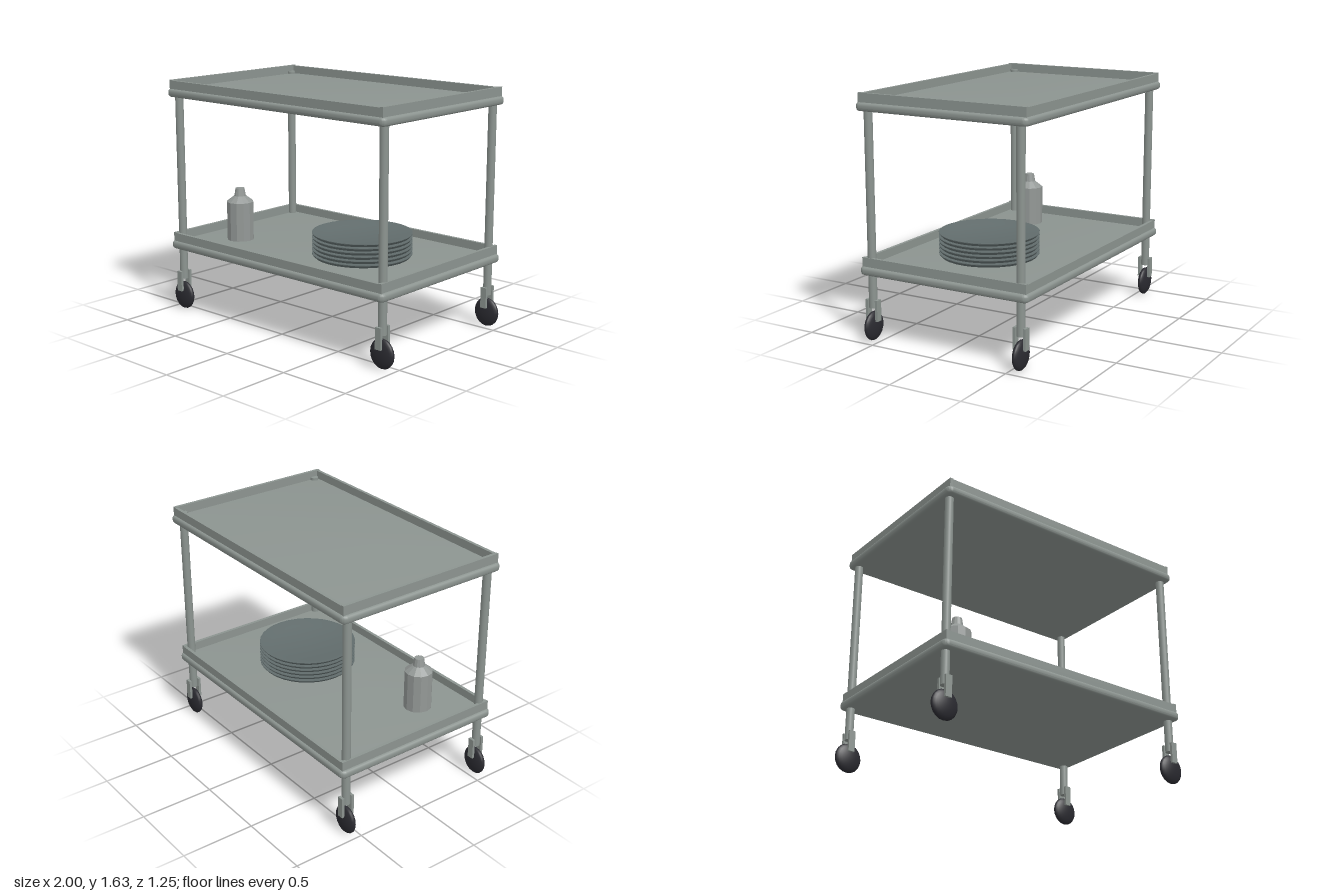
import * as THREE from 'three';
import { toCreasedNormals } from 'three/addons/utils/BufferGeometryUtils.js';

const material = (name, color) => {
  const m = new THREE.MeshStandardMaterial({ color });
  m.name = name;
  return m;
};

export function createModel() {
  const metal = material('brushed grey metal', 0x8c9490);
  const rubber = material('black rubber', 0x2a2a30);
  const ceramic = material('dark slate ceramic', 0x626d6d);
  const plastic = material('pale grey plastic', 0x939896);

  const cart = new THREE.Group();
  cart.name = 'servingCart';

  const add = (parent, name, geometry, mat, x = 0, y = 0, z = 0) => {
    const mesh = new THREE.Mesh(geometry, mat);
    mesh.name = name;
    mesh.position.set(x, y, z);
    parent.add(mesh);
    return mesh;
  };
  const group = (name, x, y, z) => {
    const g = new THREE.Group();
    g.name = name;
    g.position.set(x, y, z);
    cart.add(g);
    return g;
  };
  const lathe = (points, sides, crease) => toCreasedNormals(
    new THREE.LatheGeometry(points.map(([r, y]) => new THREE.Vector2(r, y)), sides), crease);

  // Shelf slab: rounded rectangle with a rounded bumper edge
  const bevel = 0.022;
  const hx = 0.96 - bevel, hz = 0.623 - bevel, r = 0.015;
  const outline = new THREE.Shape();
  outline.absarc(hx - r, hz - r, r, 0, Math.PI / 2);
  outline.absarc(-hx + r, hz - r, r, Math.PI / 2, Math.PI);
  outline.absarc(-hx + r, -hz + r, r, Math.PI, Math.PI * 1.5);
  outline.absarc(hx - r, -hz + r, r, Math.PI * 1.5, Math.PI * 2);
  const slab = new THREE.ExtrudeGeometry(outline, {
    depth: 0.016, bevelEnabled: true, bevelSize: bevel, bevelThickness: 0.02,
    bevelSegments: 4, curveSegments: 4,
  });
  slab.rotateX(-Math.PI / 2).translate(0, 0.02, 0);
  const slabGeometry = toCreasedNormals(slab, 0.6);

  // Trays: slab with four upright rim boards
  for (const [name, y] of [['lowerTray', 0.444], ['upperTray', 1.51]]) {
    const tray = group(name, 0, y, 0);
    add(tray, 'shelf', slabGeometry, metal);
    for (const s of [-1, 1]) {
      add(tray, 'sideRim', new THREE.BoxGeometry(0.022, 0.068, 1.214), metal, s * 0.929, 0.082, 0);
      add(tray, 'longRim', new THREE.BoxGeometry(1.84, 0.064, 0.022), metal, 0, 0.08, s * 0.596);
    }
  }

  // Legs with casters at the four corners
  const post = new THREE.CylinderGeometry(0.028, 0.028, 1.363, 16);
  const prong = new THREE.BoxGeometry(0.044, 0.142, 0.018);
  const tyre = new THREE.SphereGeometry(1, 20, 14).rotateX(Math.PI / 2);
  for (const x of [-0.907, 0.907]) {
    for (const z of [-0.553, 0.553]) {
      const leg = group('leg', x, 0, z);
      add(leg, 'post', post, metal, 0, 0.9035, 0);
      for (const s of [-1, 1]) add(leg, 'casterFork', prong, metal, 0, 0.206, s * 0.037);
      add(leg, 'wheel', tyre, rubber, 0, 0.099, 0).scale.set(0.093, 0.099, 0.034);
    }
  }

  // Stack of plates
  const plate = lathe([[0, 0], [0.25, 0], [0.32, 0.006], [0.335, 0.023], [0.335, 0.0275],
    [0.318, 0.0275], [0.25, 0.01], [0, 0.01]], 32, 0.4);
  const stack = group('plateStack', 0.302, 0.5, 0.038);
  for (let i = 0; i < 6; i++) add(stack, 'plate', plate, ceramic, 0, i * 0.028, 0);

  // Bottle
  add(cart, 'bottle', lathe([[0, 0], [0.094, 0], [0.094, 0.27], [0.041, 0.311],
    [0.032, 0.365], [0, 0.365]], 12, 0.3), plastic, -0.63, 0.5, 0.262);

  return cart;
}
